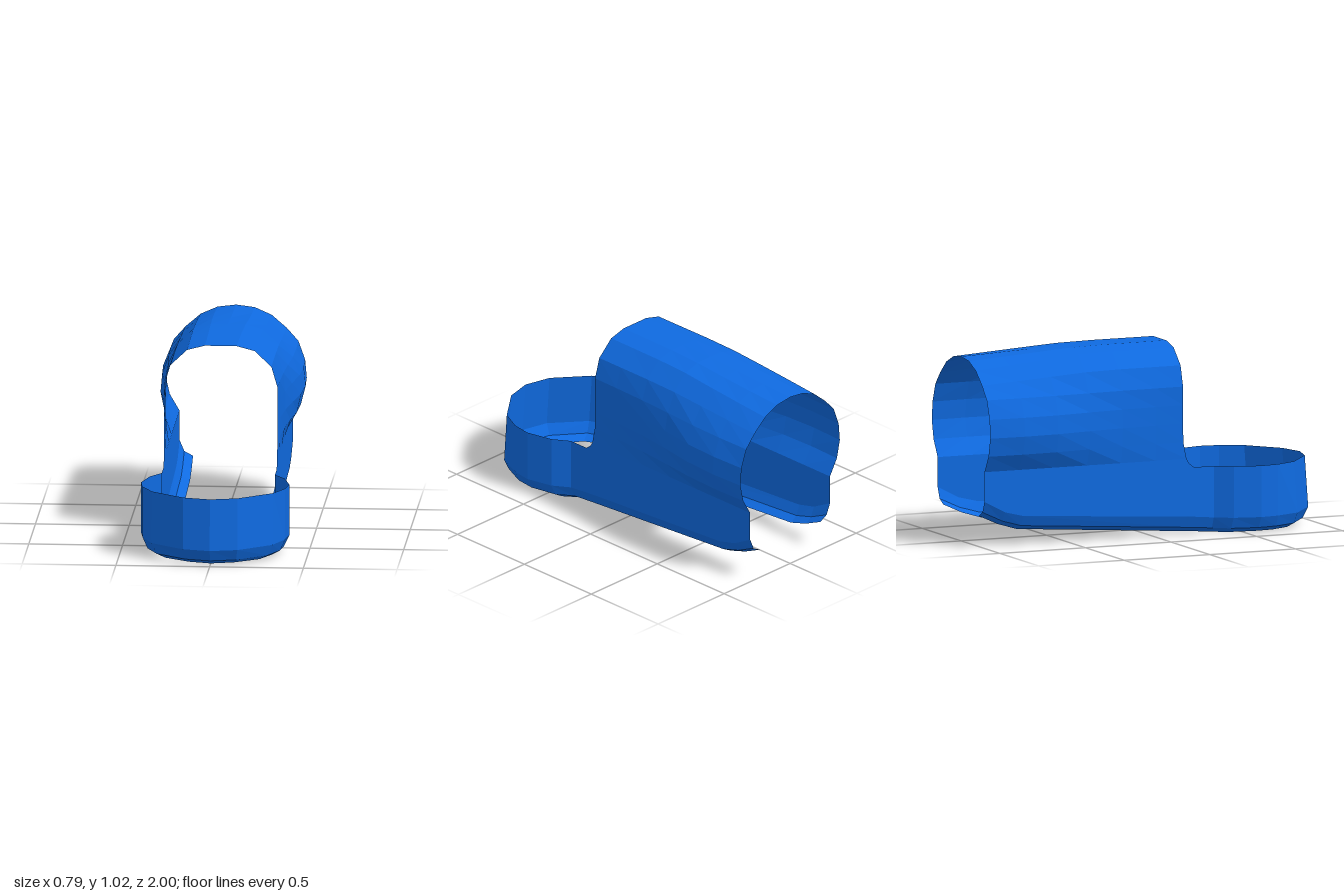
import * as THREE from 'three';

// Skin a grid of points: rows[i][j] = [x, y, z]
function loft(name, rows, material) {
  const n = rows[0].length, index = [];
  for (let i = 0; i < rows.length - 1; i++) {
    for (let j = 0; j < n - 1; j++) {
      const a = i * n + j, b = a + n;
      index.push(a, b, a + 1, b, b + 1, a + 1);
    }
  }
  const geo = new THREE.BufferGeometry();
  geo.setAttribute('position', new THREE.Float32BufferAttribute(rows.flat(2), 3));
  geo.setIndex(index);
  const flat = geo.toNonIndexed();
  flat.computeVertexNormals();
  const mesh = new THREE.Mesh(flat, material);
  mesh.name = name;
  return mesh;
}

export function createModel() {
  const group = new THREE.Group();
  group.name = 'openShell';
  const blue = new THREE.MeshStandardMaterial({ color: 0x0f6ae0, flatShading: true, side: THREE.DoubleSide });
  const mix = THREE.MathUtils.lerp;

  // Arched cowl: half profiles (x, y) from the lower edge to the crown
  const frontArch = [[0.302, 0.41], [0.302, 0.5], [0.302, 0.6], [0.302, 0.7], [0.302, 0.8],
    [0.27, 0.91], [0.18, 0.995], [0.085, 1.02], [0, 1.02]];
  const backArch = [[0.302, 0.41], [0.36, 0.5], [0.385, 0.6], [0.375, 0.7], [0.335, 0.8],
    [0.27, 0.87], [0.19, 0.94], [0.1, 0.98], [0, 0.992]];
  // z, sideways bulge, drop of the crown
  const sections = [[0.16, 0, 0], [0, 0.07, 0], [-0.2, 0.22, 0], [-0.4, 0.52, 0.1],
    [-0.6, 0.88, 0.4], [-0.8, 1, 0.7], [-1, 0.9, 1]];
  const cowl = sections.map(([z, bulge, drop], s) => {
    const half = frontArch.map(([x, y], k) => [
      mix(x, backArch[k][0], bulge),
      mix(y, backArch[k][1], drop),
      s === 0 ? z + [0.02, 0.002][k] || z : z,
    ]);
    if (s === 0) for (let k = 2; k < half.length; k++) half[k][2] = z;
    return [...half, ...half.slice(0, -1).reverse().map(([x, y, zz]) => [-x, y, zz])];
  });
  group.add(loft('cowl', cowl, blue));

  // Lower wall with rolled-in lip, from the back around the rounded nose
  // outer x, outer z, inner x, inner z, top y, crease y, bottom y
  const stations = [
    [0.302, -1, 0.23, -1, 0.41, 0.25, 0.165],
    [0.302, -0.88, 0.23, -0.89, 0.41, 0.187, 0.115],
    [0.302, -0.77, 0.23, -0.78, 0.41, 0.16, 0.082],
    [0.302, 0.18, 0.23, 0.18, 0.41, 0.1, 0.012],
    [0.302, 0.195, 0.23, 0.195, 0.385, 0.098, 0.011],
    [0.302, 0.225, 0.23, 0.225, 0.362, 0.096, 0.009],
    [0.302, 0.34, 0.23, 0.34, 0.362, 0.085, 0],
    [0.36, 0.43, 0.29, 0.42, 0.362, 0.085, 0],
    [0.395, 0.575, 0.313, 0.57, 0.362, 0.085, 0],
    [0.38, 0.68, 0.305, 0.68, 0.362, 0.085, 0],
    [0.322, 0.82, 0.25, 0.79, 0.362, 0.085, 0],
    [0.145, 0.962, 0.12, 0.88, 0.362, 0.085, 0],
    [0, 0.998, 0, 0.915, 0.362, 0.085, 0],
  ];
  const half = stations.map(([ox, oz, ix, iz, top, crease, bottom]) => [
    [ox, top, oz > 0.8 ? oz - 0.02 : oz],
    [ox, crease, oz],
    [mix(ox, ix, 0.35), mix(bottom, crease, 0.3), mix(oz, iz, 0.35)],
    [ix, bottom, iz],
  ]);
  const mirrored = half.slice(0, -1).reverse().map(row => row.map(([x, y, z]) => [-x, y, z]));
  group.add(loft('lowerWall', [...half, ...mirrored], blue));

  return group;
}
